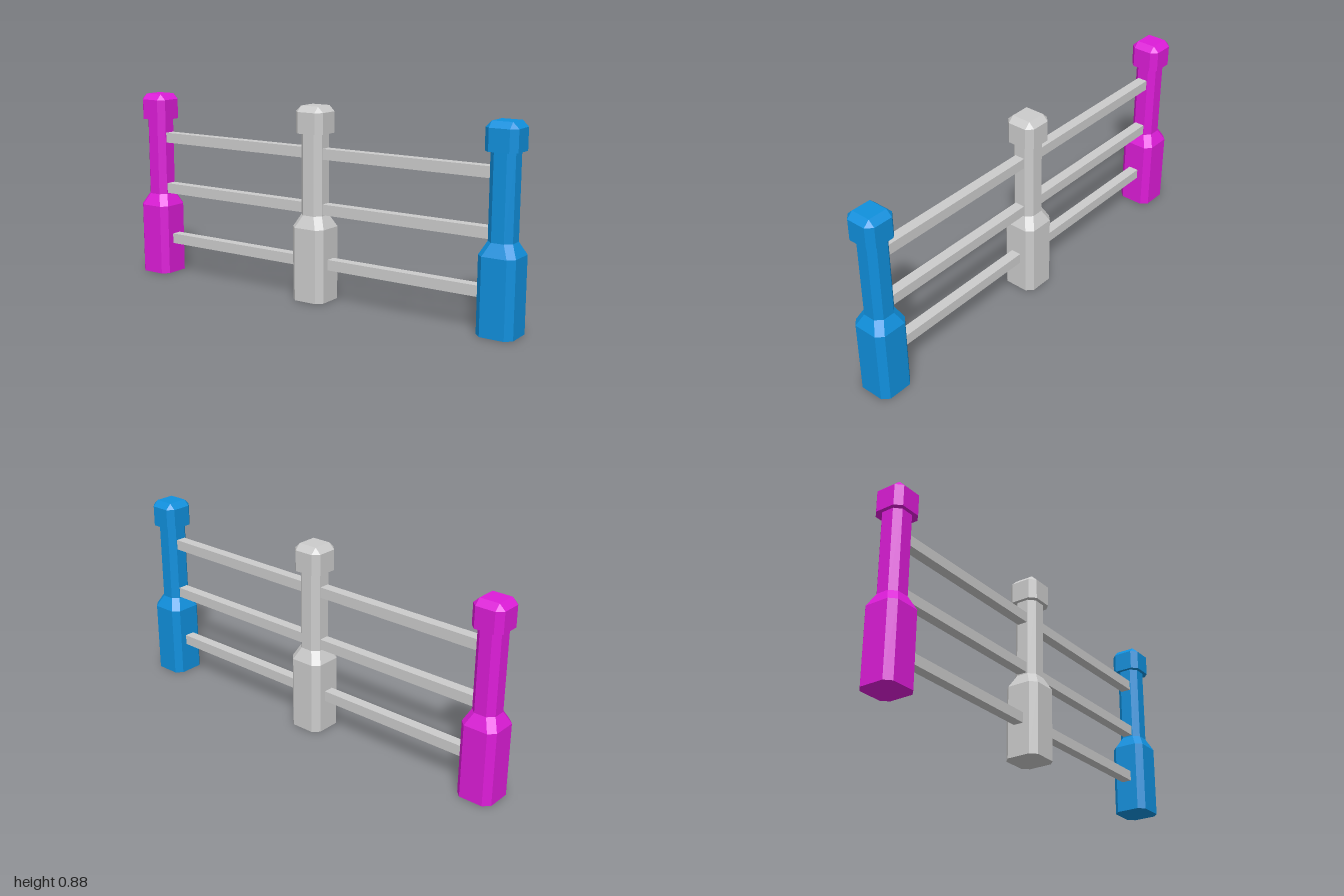
import * as THREE from 'three';

// Square ring with cut corners: half = half width, flat = half length of each straight side
function ring([y, half, flat]) {
  const pts = [];
  for (let i = 0; i < 4; i++) {
    const c = Math.round(Math.cos(i * Math.PI / 2)), s = Math.round(Math.sin(i * Math.PI / 2));
    for (const t of [-flat, flat]) pts.push([half * c - t * s, y, -(half * s + t * c)]);
  }
  return pts;
}

// Faceted solid through a stack of rings, closed at both ends
function loft(levels) {
  const rings = levels.map(ring), pos = [];
  const tri = (a, b, c) => pos.push(...a, ...b, ...c);
  for (let k = 0; k < rings.length - 1; k++) {
    const lo = rings[k], hi = rings[k + 1];
    for (let i = 0; i < 8; i++) {
      const j = (i + 1) % 8;
      tri(lo[i], lo[j], hi[j]);
      // the second triangle vanishes where a cut corner closes to a point
      if (Math.hypot(hi[i][0] - hi[j][0], hi[i][2] - hi[j][2]) > 1e-6) tri(lo[i], hi[j], hi[i]);
    }
  }
  const bottom = rings[0], top = rings[rings.length - 1];
  for (let i = 1; i < 7; i++) {
    tri(bottom[0], bottom[i + 1], bottom[i]);
    tri(top[0], top[i], top[i + 1]);
  }
  const geo = new THREE.BufferGeometry();
  geo.setAttribute('position', new THREE.Float32BufferAttribute(pos, 3));
  geo.computeVertexNormals();
  return geo;
}

export function createModel() {
  const model = new THREE.Group();
  model.name = 'fence';
  const material = (color) => new THREE.MeshStandardMaterial({ color, flatShading: true });
  const grey = material(0xcccccc);
  const add = (parent, name, geo, mat, x = 0, y = 0) => {
    const mesh = new THREE.Mesh(geo, mat);
    mesh.name = name;
    mesh.position.set(x, y, 0);
    parent.add(mesh);
  };

  // Posts: wide foot tapering into a slim shaft, with a bevelled cap
  const shaftGeo = loft([[0, 0.083, 0.055], [0.335, 0.083, 0.055], [0.39, 0.055, 0.028], [0.76, 0.055, 0.028]]);
  const capGeo = loft([[0.757, 0.072, 0.045], [0.852, 0.072, 0.045], [0.878, 0.045, 0.045]]);
  const posts = [['rightPost', -0.917, material(0xdd1cd8)], ['middlePost', 0, grey], ['leftPost', 0.917, material(0x1090dd)]];
  for (const [name, x, mat] of posts) {
    const post = new THREE.Group();
    post.name = name;
    post.position.x = x;
    add(post, 'postShaft', shaftGeo, mat);
    add(post, 'postCap', capGeo, mat);
    model.add(post);
  }

  // Three rails on each side of the middle post
  const railGeo = new THREE.BoxGeometry(0.85, 0.048, 0.048);
  for (const side of [-1, 1]) {
    ['lowerRail', 'middleRail', 'upperRail'].forEach((name, i) =>
      add(model, name, railGeo, grey, side * 0.4585, 0.171 + i * 0.2485));
  }
  return model;
}
